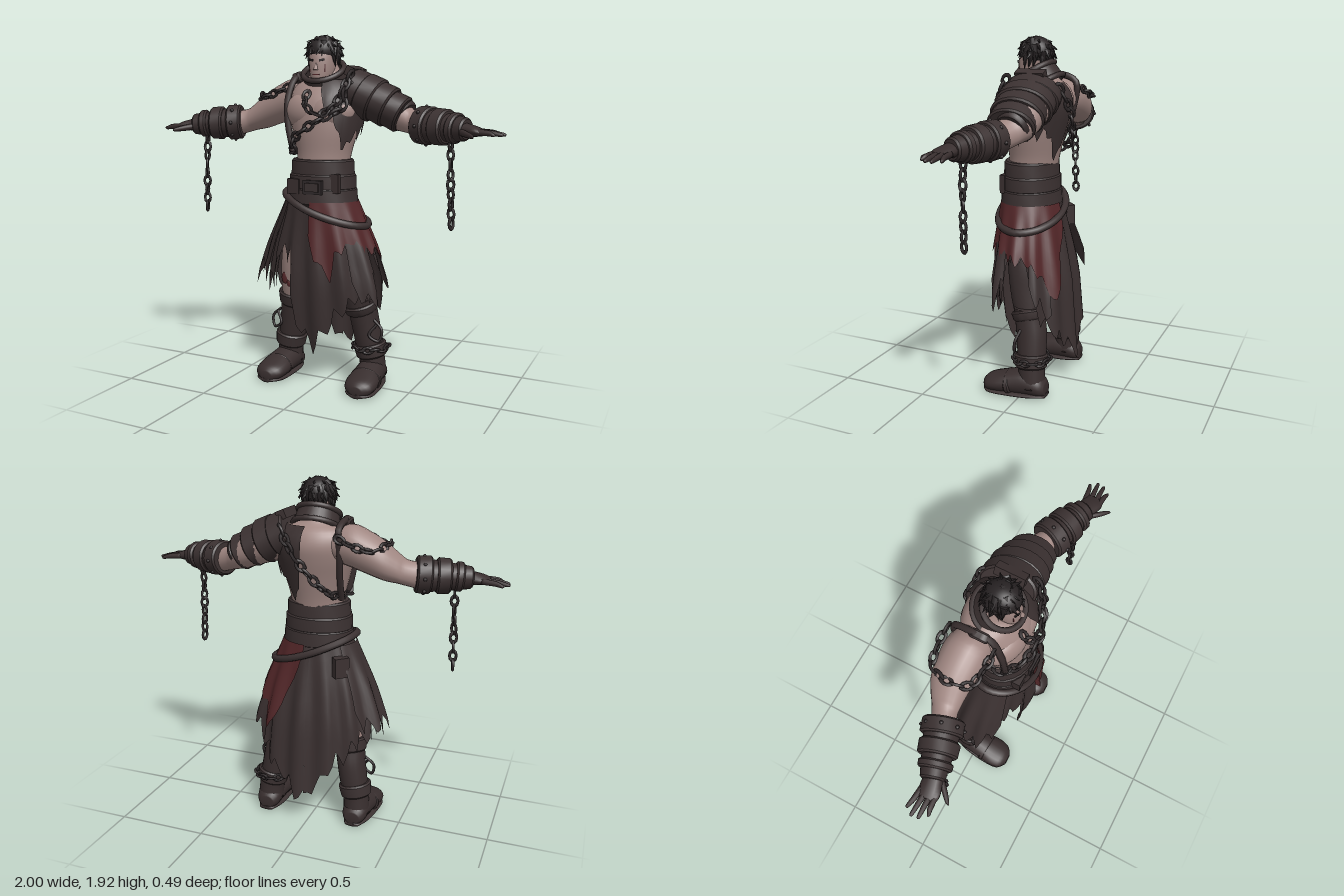
import * as THREE from 'three';
import { toCreasedNormals } from 'three/addons/utils/BufferGeometryUtils.js';

const V = (x, y, z) => new THREE.Vector3(x, y, z);
const UP = V(0, 1, 0);

export function createModel() {
  const model = new THREE.Group();
  const paint = (name, color, side = THREE.FrontSide) => {
    const m = new THREE.MeshStandardMaterial({ color, side });
    m.name = name;
    return m;
  };
  const skin = paint('skin', 0xa08782), leather = paint('leather', 0x3b3131), boot = paint('bootLeather', 0x382e2e);
  const cloth = paint('raggedCloth', 0x3a3030, THREE.DoubleSide), red = paint('redCloth', 0x522628, THREE.DoubleSide);
  const hair = paint('hair', 0x292425), iron = paint('iron', 0x2f292a);

  let seed = 7;
  const rnd = () => (seed = (seed * 16807) % 2147483647) / 2147483647;
  const add = (name, geo, mat, parent = model) => {
    const m = new THREE.Mesh(geo, mat);
    m.name = name;
    parent.add(m);
    return m;
  };
  const group = (name) => {
    const g = new THREE.Group();
    g.name = name;
    model.add(g);
    return g;
  };
  // Linear lookup in a small table of [t, value]
  const lin = (tab, t) => {
    let i = 0;
    while (i < tab.length - 2 && t > tab[i + 1][0]) i++;
    const [a, b] = [tab[i], tab[i + 1]];
    return THREE.MathUtils.lerp(a[1], b[1], THREE.MathUtils.clamp((t - a[0]) / (b[0] - a[0]), 0, 1));
  };
  // Spline through cross-section rows
  const smooth = (rows, n = 4) => {
    const out = [], at = (i) => rows[Math.max(0, Math.min(rows.length - 1, i))];
    for (let i = 0; i < rows.length - 1; i++) for (let k = 0; k < n; k++) {
      const t = k / n, [p, q, r, s] = [at(i - 1), at(i), at(i + 1), at(i + 2)];
      out.push(q.map((b, c) => 0.5 * (2 * b + (r[c] - p[c]) * t + (2 * p[c] - 5 * b + 4 * r[c] - s[c]) * t * t
        + (3 * b - p[c] - 3 * r[c] + s[c]) * t * t * t)));
    }
    out.push(at(rows.length - 1));
    return out;
  };
  const meshGeo = (pos, idx) => {
    const g = new THREE.BufferGeometry();
    g.setAttribute('position', new THREE.Float32BufferAttribute(pos, 3));
    g.setIndex(idx);
    g.computeVertexNormals();
    return g;
  };
  // Closed loft along axis k (0 x, 1 y, 2 z); rows are [x, y, z, radius on axis k+1, radius on axis k+2]
  const loft = (name, mat, k, rows, parent = model, seg = 20) => {
    if (rows[0][k] > rows[rows.length - 1][k]) rows = rows.slice().reverse();
    const R = smooth(rows), pos = [], idx = [], n = R.length;
    for (const r of R) for (let j = 0; j < seg; j++) {
      const a = j / seg * Math.PI * 2, p = r.slice(0, 3);
      p[(k + 1) % 3] += r[3] * Math.cos(a);
      p[(k + 2) % 3] += r[4] * Math.sin(a);
      pos.push(...p);
    }
    pos.push(...R[0].slice(0, 3), ...R[n - 1].slice(0, 3));
    for (let j = 0; j < seg; j++) {
      const j2 = (j + 1) % seg, top = (n - 1) * seg;
      for (let i = 0; i < n - 1; i++) {
        const a = i * seg + j, b = i * seg + j2;
        idx.push(a, b, b + seg, a, b + seg, a + seg);
      }
      idx.push(n * seg, j2, j, n * seg + 1, top + j, top + j2);
    }
    return add(name, meshGeo(pos, idx), mat, parent);
  };
  // Bevelled band between two points, squashed along z
  const cuff = (name, mat, a, b, r0, r1, squash = 1, parent = model) => {
    const h = a.distanceTo(b), e = Math.min(0.009, h / 4);
    const prof = [[0, 0], [r0 - e, 0], [r0, e], [r1, h - e], [r1 - e, h], [0, h]].map((p) => new THREE.Vector2(...p));
    const m = add(name, toCreasedNormals(new THREE.LatheGeometry(prof, 24), 0.6), mat, parent);
    m.scale.z = squash;
    m.position.copy(a);
    m.quaternion.setFromUnitVectors(UP, b.clone().sub(a).normalize());
    return m;
  };
  // Ragged sheet hung on a surface place(t, y), torn into teeth four columns wide
  const sheet = (name, mat, t0, t1, top, bottoms, place, cols, jag) => {
    const pos = [], idx = [], rows = 8;
    for (let j = 0; j <= cols; j++) {
      const t = t0 + (t1 - t0) * j / cols;
      const low = lin(bottoms, t) + [0.6, -0.1, -1, -0.4][j % 4] * jag * (0.4 + 0.6 * rnd());
      for (let i = 0; i <= rows; i++) pos.push(...place(t, top + (low - top) * i / rows).toArray());
      if (j < cols) for (let i = 0; i < rows; i++) {
        const a = j * (rows + 1) + i, b = a + rows + 1;
        idx.push(a, a + 1, b + 1, a, b + 1, b);
      }
    }
    return add(name, meshGeo(pos, idx), mat);
  };
  const linkGeo = new THREE.TorusGeometry(0.016, 0.007, 6, 10).scale(1, 1.5, 1);
  const chain = (name, pts, size = 1, closed = false) => {
    const c = new THREE.CatmullRomCurve3(pts, closed), n = Math.round(c.getLength() / (0.044 * size)), g = group(name);
    for (let i = 0; i < n; i++) {
      const u = (i + 0.5) / n, m = add('chainLink', linkGeo, iron, g);
      m.scale.setScalar(size);
      m.position.copy(c.getPointAt(u));
      m.quaternion.setFromUnitVectors(UP, c.getTangentAt(u))
        .multiply(new THREE.Quaternion().setFromAxisAngle(UP, i % 2 ? Math.PI / 2 : 0));
    }
  };
  const tube = (name, mat, pts, r, closed = false) =>
    add(name, new THREE.TubeGeometry(new THREE.CatmullRomCurve3(pts, closed), 48, r, 8, closed), mat);

  // Torso
  const torso = [[0, 1.18, 0.05, 0.13, 0.15], [0.005, 1.28, 0.04, 0.135, 0.15], [0.005, 1.4, 0.03, 0.155, 0.18],
    [0, 1.5, 0.015, 0.168, 0.2], [0, 1.58, 0, 0.165, 0.205], [0, 1.65, -0.01, 0.13, 0.18],
    [0, 1.7, 0, 0.085, 0.1], [0, 1.77, 0.02, 0.062, 0.064]];
  loft('torso', skin, 1, torso, model, 28);
  const rowsT = smooth(torso);
  const onTorso = (t, y, off = 0.02) => {
    const v = [0, 2, 3, 4].map((c) => lin(rowsT.map((r) => [r[1], r[c]]), y));
    return V(v[0] + (v[3] + off) * Math.sin(t), y, v[1] + (v[2] + off) * Math.cos(t));
  };
  for (const s of [-1, 1]) {
    const p = add('chestMuscle', new THREE.SphereGeometry(1, 24, 16), skin);
    p.scale.set(0.125, 0.095, 0.07);
    p.position.set(s * 0.085, 1.515, 0.106);
    p.rotation.y = s * 0.3;
  }

  // Head, face and hair
  loft('head', skin, 1, [[0, 1.65, 0.09, 0.03, 0.03], [0, 1.675, 0.07, 0.057, 0.048], [0, 1.72, 0.05, 0.08, 0.066],
    [0, 1.78, 0.04, 0.088, 0.074], [0, 1.83, 0.035, 0.081, 0.072], [0, 1.87, 0.03, 0.055, 0.055]]);
  const nose = add('nose', new THREE.ConeGeometry(0.014, 0.05, 8), skin);
  nose.position.set(0, 1.755, 0.128);
  nose.rotation.x = -0.2;
  add('mouth', new THREE.BoxGeometry(0.04, 0.005, 0.008), red).position.set(0, 1.706, 0.126);
  for (const s of [-1, 1]) {
    const eye = add('eye', new THREE.BoxGeometry(0.028, 0.011, 0.008), hair);
    eye.position.set(s * 0.031, 1.782, 0.121);
    eye.rotation.set(0, s * 0.35, s * 0.15);
    const scar = add('cheekMark', new THREE.BoxGeometry(0.008, 0.04, 0.008), red);
    scar.position.set(s * 0.041, 1.74, 0.109);
    scar.rotation.y = s * 0.5;
  }
  const cap = add('hairCap', new THREE.SphereGeometry(1, 24, 16), hair);
  cap.scale.set(0.083, 0.082, 0.093);
  cap.position.set(0, 1.832, 0.031);
  const hairGroup = group('hairTufts');
  [0.35, 0.75, 1.15, 1.6].forEach((phi, ring) => {
    const n = [7, 13, 18, 18][ring];
    for (let i = 0; i < n; i++) {
      const t = (i + rnd() * 0.6) / n * Math.PI * 2, facing = Math.cos(t) > 0.55;
      if (ring === 3 && facing) continue;
      const out = V(Math.sin(phi) * Math.sin(t), Math.cos(phi), Math.sin(phi) * Math.cos(t));
      const down = V(Math.cos(phi) * Math.sin(t), -Math.sin(phi), Math.cos(phi) * Math.cos(t));
      const tuft = add('tuft', new THREE.ConeGeometry(0.022, 0.075 + 0.025 * rnd(), 5), hair, hairGroup);
      tuft.position.set(0, 1.82, 0.029).addScaledVector(out, 0.082).addScaledVector(down, facing ? 0.016 : 0.025);
      const sway = V(rnd() - 0.5, 0, rnd() - 0.5).multiplyScalar(0.6);
      tuft.quaternion.setFromUnitVectors(UP, down.addScaledVector(out, 0.25).add(sway).normalize());
    }
  });

  // Tilted iron collar
  const collar = group('collar');
  collar.position.set(0, 1.695, 0.018);
  collar.rotation.x = 0.52;
  add('collarWall', new THREE.CylinderGeometry(0.112, 0.125, 0.08, 32, 1, true), cloth, collar);
  for (const [y, r] of [[0.04, 0.112], [-0.04, 0.125]]) {
    const rim = add('collarRim', new THREE.TorusGeometry(r, 0.015, 8, 32), leather, collar);
    rim.rotation.x = Math.PI / 2;
    rim.position.y = y;
  }

  // Arms, bracers, gloves and hanging chains
  for (const s of [-1, 1]) {
    const P = (x, y, z) => V(s * x, y, z);
    const X = (rows) => rows.map(([x, ...r]) => [s * x, ...r]);
    loft('arm', skin, 0, X([[0.1, 1.58, -0.03, 0.08, 0.09], [0.21, 1.582, -0.04, 0.11, 0.11], [0.3, 1.553, -0.045, 0.108, 0.11],
      [0.39, 1.513, -0.045, 0.096, 0.1], [0.46, 1.477, -0.03, 0.074, 0.08], [0.5, 1.457, -0.015, 0.066, 0.069],
      [0.58, 1.44, 0.02, 0.068, 0.066], [0.72, 1.435, 0.06, 0.05, 0.05]]));
    const g = group('bracer');
    cuff('bracerSleeve', boot, P(0.55, 1.445, 0.01), P(0.81, 1.434, 0.094), 0.09, 0.058, 1.05, g);
    cuff('bracerUpperBand', leather, P(0.535, 1.45, 0.004), P(0.61, 1.445, 0.03), 0.096, 0.098, 1.08, g);
    cuff('bracerMiddleBand', leather, P(0.635, 1.443, 0.038), P(0.705, 1.441, 0.06), 0.093, 0.09, 1.08, g);
    cuff('bracerWristBand', leather, P(0.725, 1.44, 0.068), P(0.765, 1.437, 0.08), 0.077, 0.076, 1.1, g);
    for (let i = 0; i < 8; i++) {
      const a = i / 8 * Math.PI * 2;
      add('stud', new THREE.SphereGeometry(0.01, 8, 6), iron, g)
        .position.set(s * (0.575 - 0.03 * Math.sin(a)), 1.446 + 0.097 * Math.cos(a), 0.018 + 0.1 * Math.sin(a));
    }
    const hand = group('glove');
    loft('palm', boot, 0, X([[0.74, 1.435, 0.08, 0.045, 0.052], [0.8, 1.432, 0.095, 0.036, 0.05],
      [0.86, 1.426, 0.108, 0.026, 0.055], [0.9, 1.42, 0.11, 0.015, 0.047]]), hand, 14);
    for (const [z0, z1, tip] of [[0.068, 0.05, 0.975], [0.094, 0.085, 1], [0.12, 0.12, 0.995], [0.143, 0.155, 0.965]])
      loft('finger', boot, 0, X([[0.86, 1.424, z0, 0.016, 0.015], [0.93, 1.42, (z0 + z1) / 2, 0.014, 0.013],
        [tip - 0.01, 1.412, z1, 0.009, 0.009], [tip, 1.411, z1, 0.003, 0.003]]), hand, 10);
    loft('thumb', boot, 0, X([[0.77, 1.425, 0.11, 0.018, 0.022], [0.82, 1.415, 0.16, 0.017, 0.02],
      [0.865, 1.405, 0.2, 0.011, 0.013], [0.875, 1.403, 0.21, 0.003, 0.003]]), hand, 10);
    chain('wristChain', [P(0.725, 1.38, 0.08), P(0.73, 1.2, 0.085), P(0.738, 0.935, 0.08)], 1.1);
  }

  // Layered armour on the left shoulder
  const armour = group('shoulderArmour');
  [[0.13, 1.64, 0.118, 0.155], [0.205, 1.608, 0.122, 0.155], [0.28, 1.574, 0.112, 0.142], [0.35, 1.537, 0.1, 0.125]]
    .forEach(([x, y, r, rz]) => cuff('shoulderPlate', leather, V(x, y, -0.015), V(x + 0.085, y - 0.042, -0.022), r * 0.97, r, rz / r, armour));
  cuff('shoulderStrap', boot, V(0.42, 1.5, -0.035), V(0.45, 1.484, -0.03), 0.088, 0.084, 1.05, armour);
  const ridge = add('shoulderRidge', new THREE.BoxGeometry(0.05, 0.05, 0.16), leather, armour);
  ridge.position.set(0.165, 1.722, -0.01);
  ridge.rotation.z = -0.4;
  for (let i = 0; i < 5; i++)
    add('armourStud', new THREE.SphereGeometry(0.012, 8, 6), iron, armour).position.set(0.2 + i * 0.05, 1.66 - i * 0.028, 0.115 - i * 0.012);
  sheet('chestHide', cloth, 0.2, 3.05, 1.68, [[0.2, 1.6], [0.5, 1.54], [0.75, 1.4], [1, 1.33], [1.3, 1.4], [1.9, 1.42], [2.3, 1.45], [2.5, 1.38],
    [2.72, 1.27], [2.9, 1.38], [3.05, 1.54]], (t, y) => onTorso(t, y, 0.022), 40, 0.05);

  // Right shoulder strap and body chains
  tube('shoulderHarness', boot, [onTorso(-1.0, 1.3), onTorso(-0.95, 1.45), onTorso(-0.9, 1.58), V(-0.165, 1.685, 0.06), V(-0.17, 1.708, -0.03),
    V(-0.165, 1.67, -0.13), onTorso(-2.3, 1.55), onTorso(-2.2, 1.4), onTorso(-2.0, 1.29)], 0.018);
  cuff('harnessBuckle', leather, V(-0.19, 1.685, 0.0), V(-0.145, 1.7, 0.0), 0.033, 0.033, 1.6);
  chain('chestChain', [onTorso(-1.1, 1.29, 0.02), onTorso(-0.6, 1.37, 0.025), onTorso(-0.1, 1.43, 0.028), onTorso(0.4, 1.49, 0.035),
    onTorso(0.75, 1.54, 0.045), V(0.18, 1.65, 0.15), V(0.2, 1.72, 0.1)], 1.25);
  chain('collarChain', [V(-0.04, 1.62, 0.15), onTorso(-0.1, 1.55, 0.03), onTorso(0.25, 1.5, 0.035), onTorso(0.6, 1.56, 0.035), V(0.17, 1.64, 0.15)], 1.15);
  chain('backChain', [V(0.15, 1.68, -0.15), onTorso(2.85, 1.55, 0.03), onTorso(3.25, 1.43, 0.03), onTorso(3.8, 1.33, 0.03), onTorso(5.18, 1.29, 0.03)], 1.2);
  chain('armChain', [V(-0.17, 1.65, 0.09), V(-0.28, 1.61, 0.08), V(-0.37, 1.585, 0.055), V(-0.405, 1.605, -0.04),
    V(-0.36, 1.58, -0.145), V(-0.26, 1.6, -0.17), V(-0.16, 1.64, -0.165)], 1.15);

  // Wide belt with buckle and pouches
  const belt = group('belt');
  [[1.02, 1.11, 0.198, 0.192], [1.1, 1.185, 0.188, 0.186], [1.175, 1.262, 0.178, 0.174]].forEach(([y0, y1, r0, r1]) =>
    cuff('beltBand', leather, V(0.005, y0, 0.055), V(0.005, y1, 0.055), r0, r1, 0.83, belt));
  for (const [n, x, y, z, w, h, d, m] of [['buckle', 0.02, 1.12, 0.205, 0.11, 0.075, 0.03, iron], ['buckleFace', 0.02, 1.12, 0.22, 0.08, 0.045, 0.015, leather],
    ['frontPouch', -0.1, 1.12, 0.18, 0.07, 0.08, 0.05, boot], ['beltTab', 0.13, 1.14, 0.165, 0.05, 0.1, 0.03, boot]])
    add(n, new THREE.BoxGeometry(w, h, d), m, belt).position.set(x, y, z);
  const pouch = add('backPouch', new THREE.BoxGeometry(0.08, 0.11, 0.05), leather, belt);
  pouch.position.set(-0.17, 0.93, -0.09);
  pouch.rotation.y = 0.75;

  // Ragged skirt
  const sx = [[0.1, 0.35], [0.4, 0.345], [0.6, 0.325], [0.8, 0.275], [1.04, 0.19]];
  const sz = [[0.1, 0.192], [0.4, 0.2], [0.6, 0.203], [0.8, 0.183], [1.04, 0.155]];
  const sc = [[0.1, -0.035], [0.4, 0], [0.6, 0.018], [1.04, 0.052]];
  const onSkirt = (off, flare = 0) => (t, y) => {
    const drop = Math.max(0, 1.04 - y), f = off + drop * flare + 0.014 * Math.sin(t * 13) * Math.min(1, drop * 3);
    return V((lin(sx, y) + f) * Math.sin(t), y, lin(sc, y) + (lin(sz, y) + f) * Math.cos(t));
  };
  sheet('skirt', cloth, -Math.PI, Math.PI, 1.045, [[-3.14, 0.18], [-2.7, 0.38], [-2.2, 0.52], [-1.6, 0.56], [-1.1, 0.57], [-0.9, 0.74], [-0.42, 0.77],
    [-0.31, 0.42], [-0.2, 0.33], [0.03, 0.25], [0.25, 0.36], [0.45, 0.45], [0.8, 0.53], [1.15, 0.58], [1.3, 0.78], [1.9, 0.78],
    [2.1, 0.5], [2.6, 0.33], [3.14, 0.18]], onSkirt(0), 92, 0.08);
  sheet('rightHipCloth', cloth, -2.3, -0.95, 1.04, [[-2.3, 0.66], [-1.5, 0.58], [-0.95, 0.72]], onSkirt(0.018, 0.11), 20, 0.09);
  sheet('leftFrontTatter', cloth, 0.75, 1.3, 0.92, [[0.75, 0.6], [1.05, 0.52], [1.3, 0.66]], onSkirt(0.004, 0.09), 9, 0.08);
  sheet('leftBackTatter', cloth, 1.95, 2.4, 0.92, [[1.95, 0.62], [2.4, 0.45]], onSkirt(0.002, 0.06), 8, 0.08);
  sheet('redSash', red, 0.02, 3.0, 1.04, [[0.02, 0.84], [0.2, 0.74], [0.38, 0.63], [0.52, 0.78], [0.9, 0.84], [1.3, 0.79], [1.9, 0.76],
    [2.2, 0.7], [2.5, 0.54], [2.7, 0.72], [3.0, 0.98]], onSkirt(0.014, 0.05), 48, 0.04);
  const loop = [];
  for (let i = 0; i < 12; i++) {
    const t = i / 12 * Math.PI * 2;
    loop.push(onSkirt(0.018)(t, 0.995 - 0.085 * Math.sin(t)));
  }
  tube('hipRope', leather, loop, 0.02, true);

  // Legs and boots
  for (const s of [-1, 1]) {
    const X = (rows) => rows.map(([x, ...r]) => [s * x, ...r]);
    const P = (x, y, z) => V(s * x, y, z);
    loft(s < 0 ? 'bareThigh' : 'trouserLeg', s < 0 ? skin : cloth, 1, X([[0.2, 0.42, -0.015, 0.077, 0.077], [0.18, 0.58, 0.012, 0.09, 0.09],
      [0.155, 0.75, 0.025, 0.1, 0.098], [0.1, 1.0, 0.045, 0.1, 0.08]]));
    loft('bootShaft', boot, 1, X([[0.265, 0.06, -0.055, 0.078, 0.075], [0.258, 0.15, -0.052, 0.073, 0.072], [0.24, 0.25, -0.045, 0.08, 0.078],
      [0.222, 0.36, -0.035, 0.085, 0.08], [0.208, 0.45, -0.02, 0.083, 0.084], [0.2, 0.495, -0.012, 0.088, 0.09]]));
    cuff('bootTopBand', leather, P(0.21, 0.42, -0.025), P(0.2, s < 0 ? 0.495 : 0.47, -0.012), 0.093, 0.1, 1);
    cuff('ankleBand', leather, P(0.26, 0.16, -0.05), P(0.246, 0.235, -0.045), 0.086, 0.092, 1);
    loft('foot', boot, 2, X([[0.262, 0.05, -0.14, 0.04, 0.035], [0.263, 0.062, -0.11, 0.065, 0.058], [0.265, 0.078, -0.04, 0.077, 0.073],
      [0.27, 0.07, 0.05, 0.083, 0.066], [0.274, 0.058, 0.13, 0.09, 0.054], [0.276, 0.048, 0.19, 0.074, 0.044], [0.276, 0.04, 0.22, 0.03, 0.025]]));
    loft('sole', leather, 2, X([[0.262, 0.014, -0.14, 0.042, 0.012], [0.265, 0.014, -0.05, 0.075, 0.014], [0.272, 0.014, 0.1, 0.087, 0.014],
      [0.276, 0.014, 0.18, 0.076, 0.014], [0.276, 0.014, 0.22, 0.03, 0.012]]));
    cuff('footStrap', leather, P(0.272, 0.066, 0.05), P(0.274, 0.062, 0.085), 0.088, 0.089, 1).scale.z = 0.74;
    tube('bootLace', iron, [P(0.29, 0.38, 0.0), P(0.34, 0.33, 0.01), P(0.325, 0.27, 0.02), P(0.275, 0.3, 0.035), P(0.31, 0.36, 0.01)], 0.008);
  }
  chain('ankleChain', [0, 1, 2, 3, 4, 5].map((i) => V(0.25 + 0.096 * Math.sin(i * Math.PI / 3), 0.215, -0.048 + 0.098 * Math.cos(i * Math.PI / 3))), 1, true);
  for (const [x, y, z, w, h] of [[-0.215, 0.585, 0.094, 0.022, 0.035], [-0.19, 0.555, 0.094, 0.014, 0.02]]) {
    const wound = add('kneeWound', new THREE.SphereGeometry(1, 12, 8), red);
    wound.scale.set(w, h, 0.008);
    wound.position.set(x, y, z);
  }
  return model;
}
